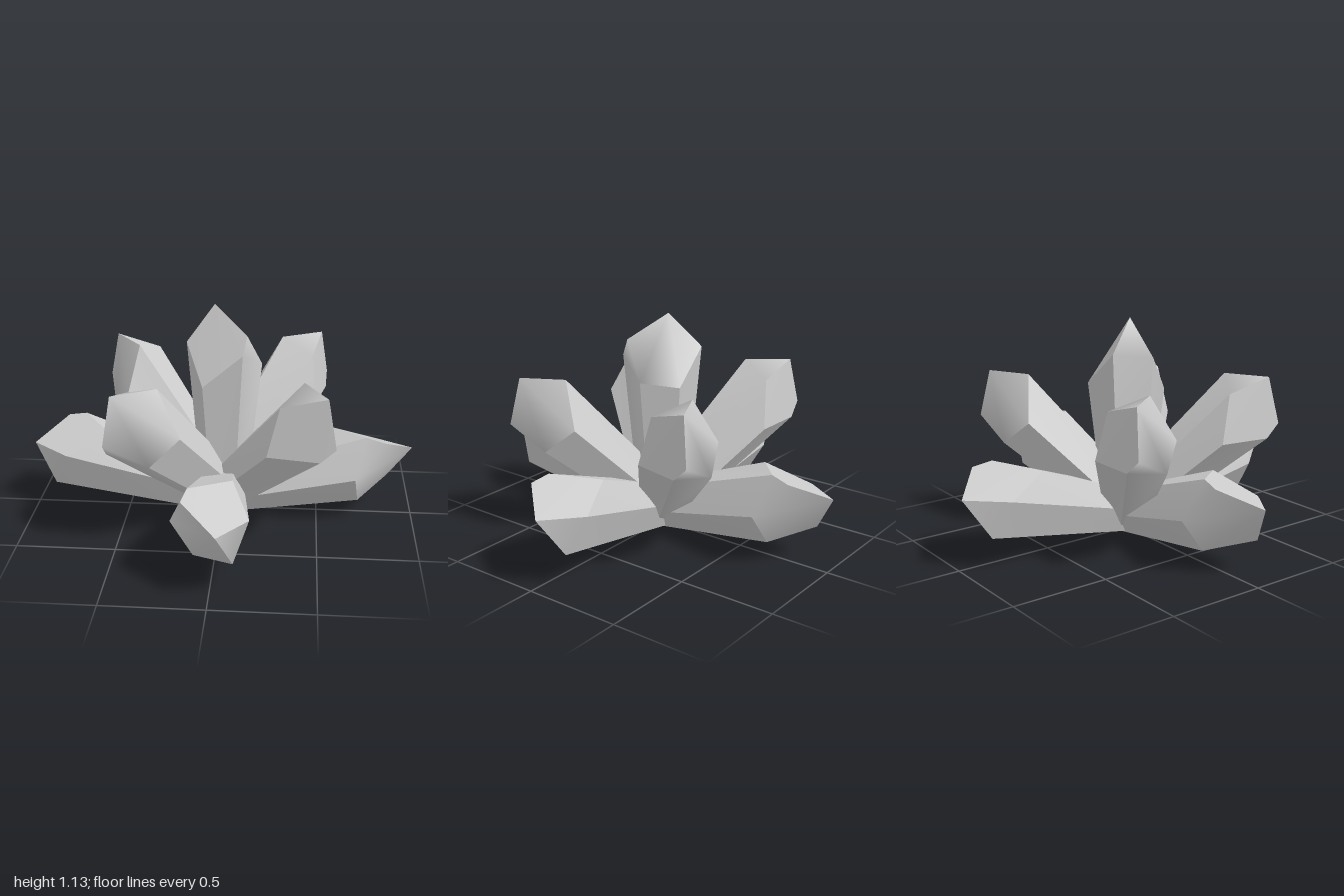
import * as THREE from 'three';
import { mergeGeometries } from 'three/addons/utils/BufferGeometryUtils.js';

// Six shoulder corners, going round the crystal, measured from its root.
const SHOULDER = [
  [0.2, 0.71, -0.015], [0.11, 0.81, 0.165], [-0.09, 0.643, 0.175],
  [-0.18, 0.833, 0.03], [-0.11, 0.86, -0.168], [0.09, 0.688, -0.18],
];
const TIP = [-0.04, 1.023, -0.01];
const NOTCH = [0.13, 0.9, 0.12]; // extra corner on the ridge of the tip
const ROOT_SCALE = 0.62;
const PIVOT_Y = 0.107;

// Points: 0-5 shoulder, 6-11 root, 12 tip, 13 notch.
const POINTS = [
  ...SHOULDER,
  ...SHOULDER.map(([x, , z]) => [x * ROOT_SCALE, 0, z * ROOT_SCALE]),
  TIP, NOTCH,
];
const T = 12, N = 13;

const side = (i) => {
  const j = (i + 1) % 6;
  return [j + 6, i + 6, i, j];
};

// Polygons in one group share smooth normals; groups meet at sharp edges.
function smoothGroup(polygons) {
  const map = new Map(), positions = [], index = [];
  const add = (p) => {
    if (!map.has(p)) {
      map.set(p, map.size);
      positions.push(...POINTS[p]);
    }
    return map.get(p);
  };
  for (const poly of polygons) {
    for (let k = 1; k < poly.length - 1; k++) {
      index.push(add(poly[0]), add(poly[k]), add(poly[k + 1]));
    }
  }
  const g = new THREE.BufferGeometry();
  g.setAttribute('position', new THREE.Float32BufferAttribute(positions, 3));
  g.setIndex(index);
  g.computeVertexNormals();
  return g;
}

function crystalGeometry() {
  return mergeGeometries([
    [[T, 3, 2, 1, N]],                                        // broad tip facet
    [[T, 4, 3], side(3)],                                     // narrow facet and its side
    [[N, 1, 0], [T, N, 0], [T, 0, 5], [T, 5, 4], side(0)],    // rounded facet and its side
    [side(1)], [side(2)], [side(4)], [side(5)],               // flat sides
    [[6, 7, 8, 9, 10, 11]],                                   // root end
  ].map(smoothGroup));
}

export function createModel() {
  const group = new THREE.Group();
  group.name = 'crystalCluster';
  const geometry = crystalGeometry();
  const material = new THREE.MeshStandardMaterial({ color: 0xcccccc });
  const rad = THREE.MathUtils.degToRad;

  // Turn about the vertical, lean outwards, roll about the crystal's own axis.
  const addCrystal = (name, yaw, tilt, roll) => {
    const mesh = new THREE.Mesh(geometry, material);
    mesh.name = name;
    mesh.position.y = PIVOT_Y;
    mesh.rotateY(rad(yaw)).rotateX(rad(tilt)).rotateY(rad(roll));
    group.add(mesh);
  };

  addCrystal('centreCrystal', 0, 0, 0);
  [0, 90, 180, 270].forEach((yaw, i) => addCrystal(`lowCrystal${i + 1}`, yaw, 75, 180));
  [-41.5, 48.5, 136.5, -122].forEach((yaw, i) => addCrystal(`middleCrystal${i + 1}`, yaw, 47, -52));
  return group;
}
